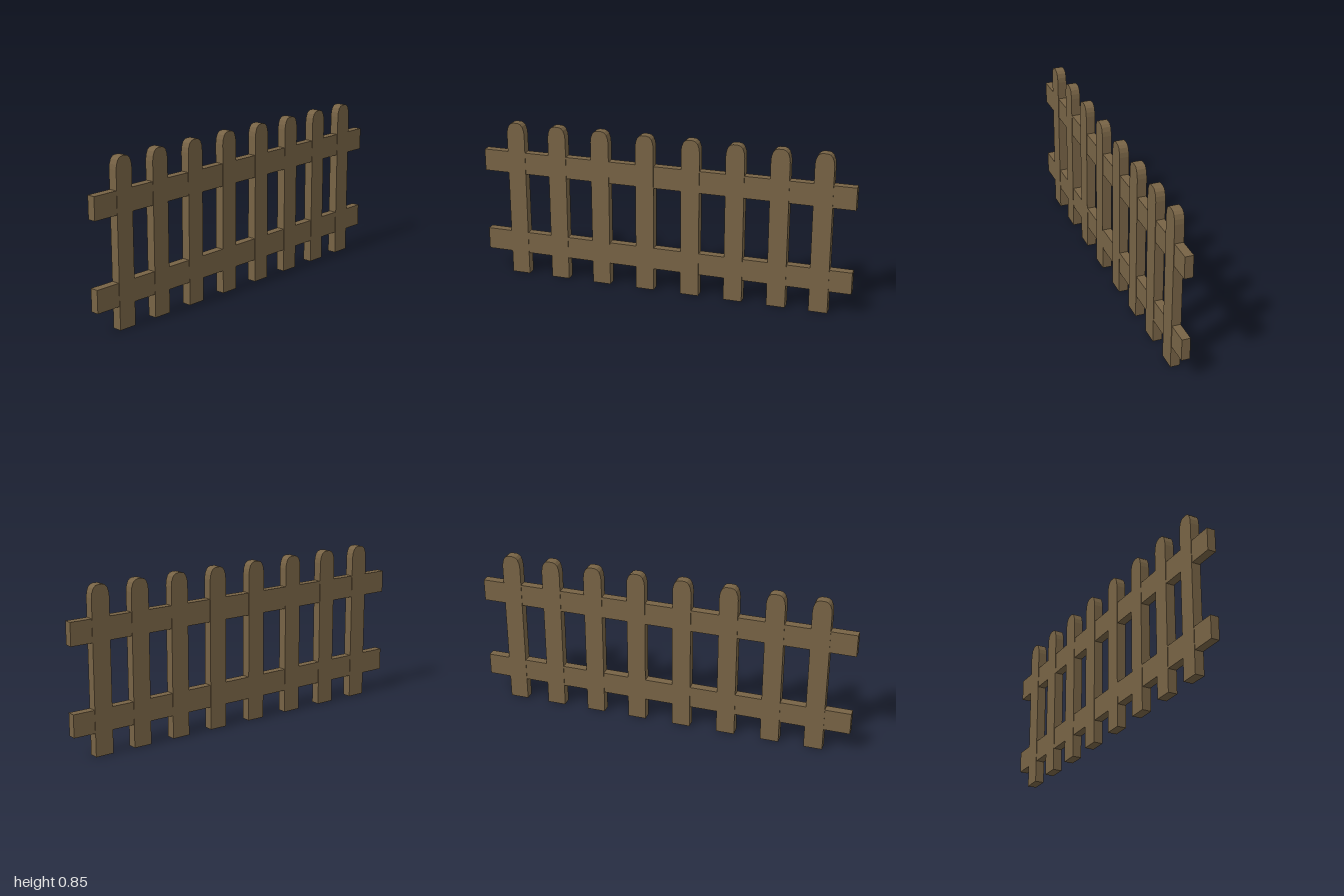
import * as THREE from 'three';

const HEIGHT = 0.853, HALF_W = 0.049, PICKET_D = 0.049;
const RAIL_H = 0.118, RAIL_D = 0.044;

// Board outline with a rounded, slightly flattened top
function picketGeometry() {
  const side = [[HALF_W, 0], [HALF_W, 0.79], [0.046, 0.815], [0.038, 0.837], [0.026, 0.849], [0.012, HEIGHT]];
  const outline = [...side, ...side.map(([x, y]) => [-x, y]).reverse()];
  const shape = new THREE.Shape(outline.map(([x, y]) => new THREE.Vector2(x, y)));
  const geometry = new THREE.ExtrudeGeometry(shape, { depth: PICKET_D, bevelEnabled: false });
  return geometry.translate(0, 0, -PICKET_D / 2);
}

export function createModel() {
  const fence = new THREE.Group();
  fence.name = 'picketFence';
  const wood = new THREE.MeshStandardMaterial({ color: 0x776345 });
  wood.name = 'brownWood';

  // Upright boards, slightly unevenly spaced
  const picket = picketGeometry();
  [-0.815, -0.583, -0.344, -0.099, 0.147, 0.382, 0.613, 0.834].forEach((x, i) => {
    const mesh = new THREE.Mesh(picket, wood);
    mesh.name = `picket${i + 1}`;
    mesh.position.x = x;
    fence.add(mesh);
  });

  // Horizontal rails running through the boards
  const rail = new THREE.BoxGeometry(2, RAIL_H, RAIL_D);
  for (const [name, y] of [['lowerRail', 0.18], ['upperRail', 0.633]]) {
    const mesh = new THREE.Mesh(rail, wood);
    mesh.name = name;
    mesh.position.y = y;
    fence.add(mesh);
  }
  return fence;
}
